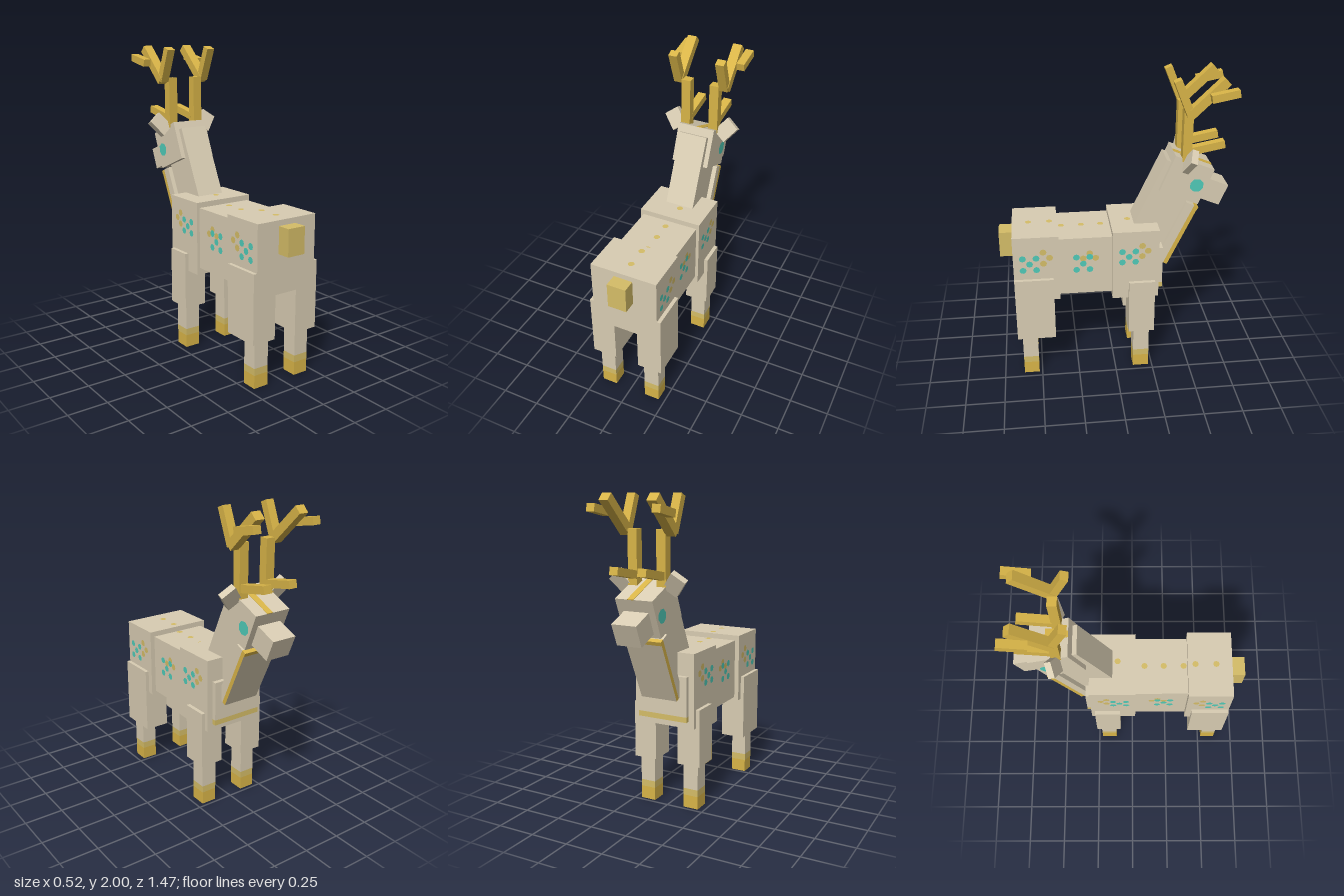
import * as THREE from 'three';

const mat = (name, color) => {
  const m = new THREE.MeshStandardMaterial({ color });
  m.name = name;
  return m;
};

export function createModel() {
  const root = new THREE.Group();
  const fur = mat('paleFur', 0xd9cdb3);
  const gold = mat('gold', 0xd9b548);
  const paleGold = mat('paleGold', 0xd6be68);
  const teal = mat('teal', 0x50cbb8);

  // Box from centre and size, optionally pitched about x
  function box(name, material, [x, y, z], [w, h, d], pitch = 0, parent = root) {
    const m = new THREE.Mesh(new THREE.BoxGeometry(w, h, d), material);
    m.name = name;
    m.position.set(x, y, z);
    m.rotation.x = pitch;
    parent.add(m);
    return m;
  }
  // Box from its lower and upper corners
  function span(name, material, a, b) {
    return box(name, material, a.map((v, i) => (v + b[i]) / 2), a.map((v, i) => b[i] - v));
  }
  // Flat round spot on a side (+1 / -1) or on the back (0)
  function spot(name, material, x, y, z, r, side, parent = root) {
    const m = new THREE.Mesh(new THREE.CircleGeometry(r, 8), material);
    m.name = name;
    m.position.set(x, y, z);
    if (side) m.rotation.y = side * Math.PI / 2;
    else m.rotation.x = -Math.PI / 2;
    parent.add(m);
  }

  // Body in three blocks, with tail and chest plate
  span('hindBody', fur, [-0.22, 0.58, 0.36], [0.22, 1.035, 0.65]);
  span('midBody', fur, [-0.19, 0.6, 0.02], [0.19, 1.0, 0.36]);
  span('foreBody', fur, [-0.21, 0.555, -0.28], [0.21, 1.035, 0.02]);
  span('tail', paleGold, [-0.062, 0.83, 0.65], [0.062, 1.0, 0.735]);
  span('chestPlate', fur, [-0.172, 0.635, -0.31], [0.172, 0.89, -0.28]);
  span('chestTrim', paleGold, [-0.172, 0.6, -0.31], [0.172, 0.635, -0.28]);

  // Neck and throat plate with a gilded rim
  const lean = -0.436;
  box('neck', fur, [0, 1.16, -0.32], [0.19, 0.56, 0.24], lean);
  const throat = new THREE.Group();
  throat.name = 'throatPlate';
  throat.position.set(0, 0.962, -0.403);
  throat.rotation.x = lean;
  root.add(throat);
  box('throatBack', fur, [0, 0, 0.014], [0.25, 0.446, 0.055], 0, throat);
  box('throatFront', [gold, gold, gold, fur, fur, fur], [0, 0, -0.0275], [0.25, 0.446, 0.028], 0, throat);
  box('throatTopTrim', gold, [0, 0.21, -0.0425], [0.25, 0.026, 0.003], 0, throat);

  // Head, pitched downwards, with snout, forehead stripe, eyes and ears
  const head = new THREE.Group();
  head.name = 'head';
  head.position.set(0, 1.334, -0.455);
  head.rotation.x = -0.3927;
  root.add(head);
  box('skull', fur, [0, 0, 0], [0.25, 0.25, 0.269], 0, head);
  box('foreheadStripe', gold, [0.021, 0.125, 0], [0.042, 0.005, 0.269], 0, head);
  box('snout', fur, [0, 1.232, -0.634], [0.166, 0.143, 0.155], -0.3927);

  // Side spots: z, y
  const tealSpots = [
    [0.59, 0.89], [0.505, 0.89], [0.547, 0.85], [0.59, 0.807], [0.505, 0.807],
    [0.25, 0.865], [0.165, 0.865], [0.207, 0.818], [0.25, 0.775], [0.165, 0.775],
    [-0.042, 0.897], [-0.127, 0.897], [-0.085, 0.86], [-0.042, 0.822], [-0.127, 0.822]];
  const goldSpots = [
    [0.46, 0.93], [0.42, 0.89], [0.46, 0.85], [0.165, 0.89], [0.127, 0.855], [0.207, 0.855],
    [-0.17, 0.934], [-0.207, 0.897], [-0.17, 0.86]];
  const flank = z => (z > 0.36 ? 0.22 : z > 0.02 ? 0.19 : 0.21) + 0.002;

  for (const s of [1, -1]) {
    // Legs with two-tone hooves
    const legs = [
      ['hind', 0.4, 0.65, 0.74, 0.244, 0.52, 0.62],
      ['front', -0.255, -0.085, 0.675, 0.235, -0.225, -0.12]];
    for (const [n, z0, z1, top, out, l0, l1] of legs) {
      const zc = (l0 + l1) / 2, d = l1 - l0;
      box(n + 'Thigh', fur, [s * (out + 0.08) / 2, (top + 0.3) / 2, (z0 + z1) / 2], [out - 0.08, top - 0.3, z1 - z0]);
      box(n + 'Shin', fur, [s * 0.158, 0.215, zc], [0.102, 0.17, d]);
      box(n + 'HoofBand', paleGold, [s * 0.158, 0.1075, zc], [0.102, 0.045, d]);
      box(n + 'Hoof', gold, [s * 0.158, 0.0425, zc], [0.102, 0.085, d]);
    }

    // Eye and ear
    spot('eye', teal, s * 0.127, -0.009, -0.072, 0.045, s, head);
    const ear = box('ear', fur, [s * 0.18, 0.137, 0.052], [0.1, 0.125, 0.042], 0, head);
    ear.rotation.z = -s * 0.66;

    // Antler: upright beam and four tines
    box('antlerBeam', gold, [s * 0.097, 1.625, -0.449], [0.062, 0.33, 0.058]);
    box('browTine', gold, [s * 0.093, 1.541, -0.57], [0.056, 0.048, 0.23], 0.19);
    box('backTine', gold, [s * 0.156, 1.878, -0.408], [0.056, 0.23, 0.048], 0.39);
    box('foreTine', gold, [s * 0.156, 1.873, -0.552], [0.062, 0.297, 0.056], -0.81);
    box('outerTine', gold, [s * 0.212, 1.9, -0.64], [0.054, 0.047, 0.168], 0.19);

    // Flank markings
    for (const [z, y] of goldSpots) spot('goldSpot', paleGold, s * flank(z), y, z, 0.022, s);
    for (const [z, y] of tealSpots) spot('tealSpot', teal, s * (flank(z) + 0.001), y, z, 0.022, s);
  }

  // Spots along the spine
  for (const [x, z] of [[0.02, -0.095], [0, 0.08], [0, 0.205], [0, 0.335], [0, 0.41], [0, 0.545]])
    spot('spineSpot', paleGold, x, z > 0.02 && z < 0.36 ? 1.002 : 1.037, z, 0.021, 0);

  return root;
}
